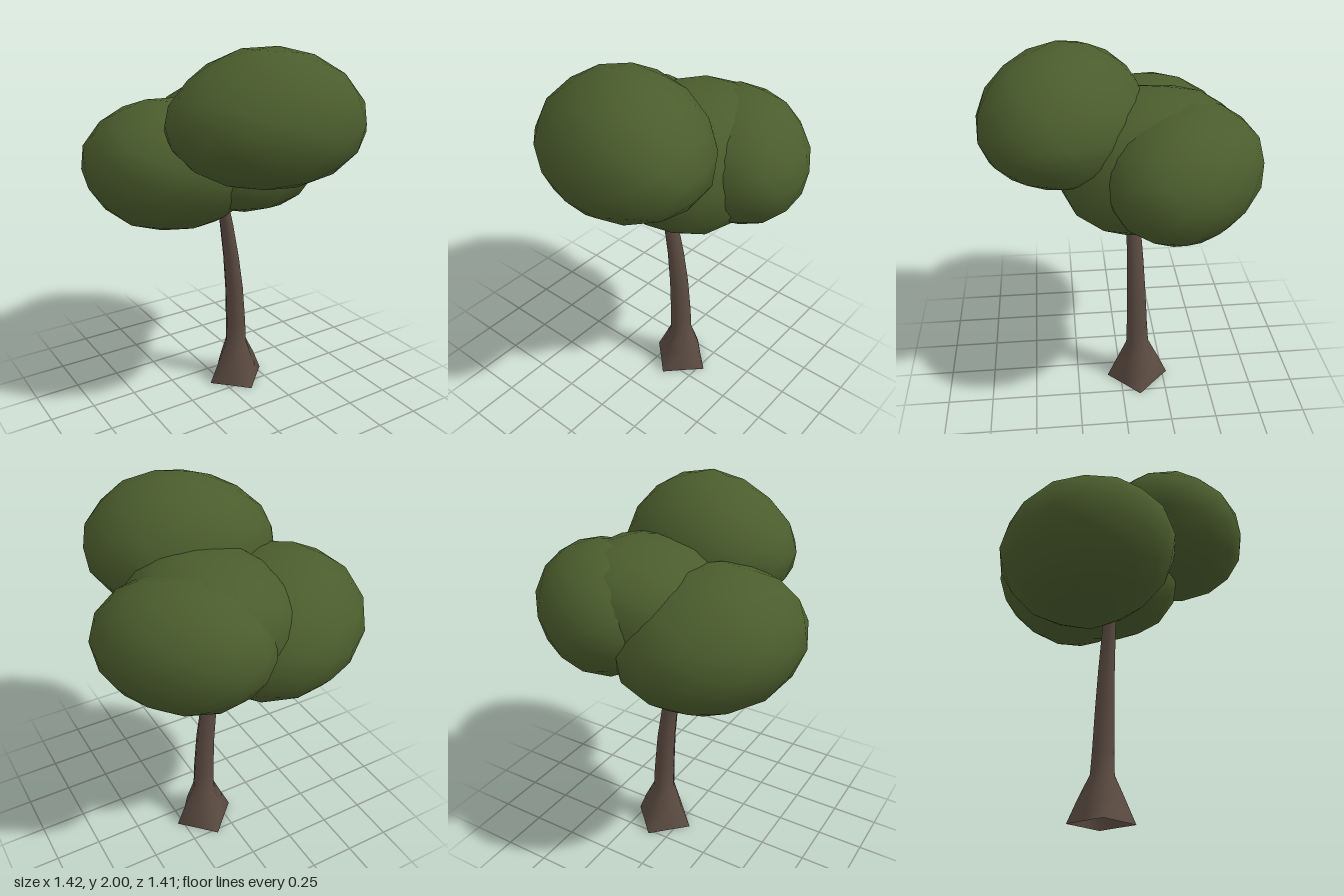
import * as THREE from 'three';
import { mergeVertices } from 'three/addons/utils/BufferGeometryUtils.js';

// The trunk is open at the bottom, so its inside shows
const bark = new THREE.MeshStandardMaterial({ color: 0x5c4c42, side: THREE.DoubleSide });
bark.name = 'bark brown';
const leaf = new THREE.MeshStandardMaterial({ color: 0x4b5d2d });
leaf.name = 'leaf green';

// Share vertices so that the low-poly surface shades smoothly
function smooth(geometry) {
  geometry.deleteAttribute('uv');
  geometry.deleteAttribute('normal');
  const merged = mergeVertices(geometry, 1e-4);
  merged.computeVertexNormals();
  return merged;
}

// Trunk rings: height, centre x, centre z, radius, root depth (0 = round)
const rings = [
  [0, 0.107, -0.1, 0.176, 0.3],
  [0.12, 0.11, -0.1, 0.125, 0.2],
  [0.25, 0.106, -0.098, 0.064, 0.05],
  [0.38, 0.102, -0.095, 0.058, 0],
  [0.6, 0.088, -0.09, 0.052, 0],
  [0.8, 0.064, -0.085, 0.045, 0],
  [1.0, 0.03, -0.077, 0.038, 0],
  [1.12, 0.005, -0.072, 0.033, 0],
  [1.25, -0.02, -0.07, 0.028, 0],
];

// Open tube through the rings, flaring into four roots on the axes
function makeTrunk() {
  const last = rings.length - 1;
  const geometry = new THREE.CylinderGeometry(1, 1, 1, 8, last, true);
  const p = geometry.attributes.position;
  for (let i = 0; i < p.count; i++) {
    const x = p.getX(i), z = p.getZ(i);
    const [y, cx, cz, r, roots] = rings[Math.round((p.getY(i) + 0.5) * last)];
    const k = r * (1 - roots * Math.abs(x * z) * 2);
    p.setXYZ(i, cx + x * k, y, cz + z * k);
  }
  const trunk = new THREE.Mesh(smooth(geometry), bark);
  trunk.name = 'trunk';
  return trunk;
}

// Leaf clump: a lumpy ball, turned by yaw, leaning with height; boxy below 1
// squares it off, taper thins its -x end, egg narrows its top
function makeClump({ name, at, size, yaw = 0, lean = [0, 0], boxy = 1, taper = 0, egg = 0, seed }) {
  const square = (v) => Math.sign(v) * Math.abs(v) ** boxy;
  const geometry = new THREE.IcosahedronGeometry(1, 2).rotateY(seed * 0.7);
  const p = geometry.attributes.position;
  for (let i = 0; i < p.count; i++) {
    const x = p.getX(i), y = p.getY(i), z = p.getZ(i);
    const k = 1.01 + 0.025 * Math.sin(3 * x + 2 * y + seed) * Math.cos(3 * z - y + seed * 2);
    const wide = k * (1 - egg * y);
    p.setXYZ(
      i,
      size[0] * wide * square(x),
      size[1] * k * square(y) * (1 + taper * x),
      size[2] * wide * square(z)
    );
  }
  geometry.rotateY(yaw);
  for (let i = 0; i < p.count; i++) {
    const y = p.getY(i);
    p.setXYZ(i, at[0] + p.getX(i) + lean[0] * y, at[1] + y, at[2] + p.getZ(i) + lean[1] * y);
  }
  const mesh = new THREE.Mesh(smooth(geometry), leaf);
  mesh.name = name;
  return mesh;
}

const clumps = [
  { name: 'frontClump', at: [0.034, 1.665, 0.282], size: [0.49, 0.336, 0.405], yaw: -0.38, taper: 0.06, egg: 0.1, seed: 1 },
  { name: 'rightClump', at: [-0.245, 1.352, -0.207], size: [0.468, 0.353, 0.453], yaw: Math.PI / 4, lean: [-0.14, 0.1], seed: 2 },
  { name: 'leftClump', at: [0.307, 1.435, -0.292], size: [0.35, 0.33, 0.445], yaw: Math.PI / 4, seed: 3 },
  { name: 'middleClump', at: [0.12, 1.435, -0.15], size: [0.41, 0.347, 0.465], lean: [0, -0.12], boxy: 0.88, seed: 4 },
];

export function createModel() {
  const tree = new THREE.Group();
  tree.name = 'tree';
  const crown = new THREE.Group();
  crown.name = 'crown';
  clumps.forEach((c) => crown.add(makeClump(c)));
  tree.add(makeTrunk(), crown);
  return tree;
}
